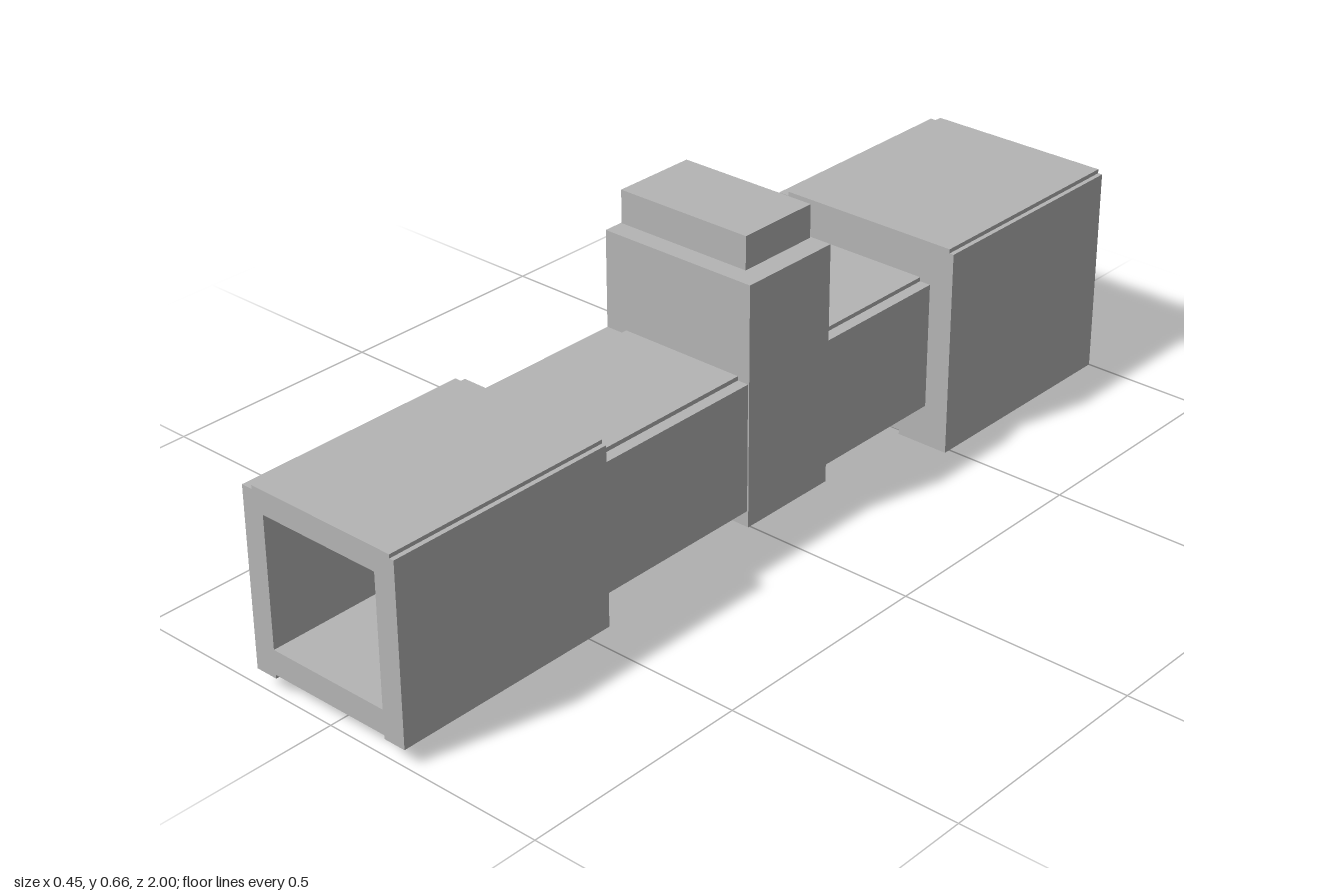
import * as THREE from 'three';

export function createModel() {
  const model = new THREE.Group();
  const grey = new THREE.MeshStandardMaterial({ color: 0xb4b4b4 });
  grey.name = 'grey';

  const add = (name, geometry) => {
    const mesh = new THREE.Mesh(geometry, grey);
    mesh.name = name;
    model.add(mesh);
  };

  // Box given by its limits on each axis
  const box = (name, [x0, x1], [y0, y1], [z0, z1]) => {
    const g = new THREE.BoxGeometry(x1 - x0, y1 - y0, z1 - z0);
    g.translate((x0 + x1) / 2, (y0 + y1) / 2, (z0 + z1) / 2);
    add(name, g);
  };

  // Outline stepped along the top and bottom, with an optional square bore, run along z
  const section = (name, points, bore, z0, z1) => {
    const shape = new THREE.Shape(points.map(([x, y]) => new THREE.Vector2(x, y)));
    if (bore) {
      const [x0, x1, y0, y1] = bore;
      shape.holes.push(new THREE.Path([
        new THREE.Vector2(x0, y0), new THREE.Vector2(x0, y1),
        new THREE.Vector2(x1, y1), new THREE.Vector2(x1, y0),
      ]));
    }
    const g = new THREE.ExtrudeGeometry(shape, { depth: z1 - z0, bevelEnabled: false });
    g.translate(0, 0, z0);
    add(name, g);
  };

  // Front housing, open to the front
  section('frontHousing', [
    [-0.19, 0.036], [-0.14, 0.036], [-0.14, 0.044], [0.14, 0.044], [0.14, 0.036], [0.19, 0.036],
    [0.19, 0.417], [0.18, 0.417], [0.18, 0.425], [-0.165, 0.425], [-0.165, 0.417], [-0.19, 0.417],
  ], [-0.14, 0.14, 0.097, 0.375], 0.485, 1);

  // Rear housing, with a smaller opening to the back
  section('rearHousing', [
    [-0.225, 0], [-0.105, 0], [-0.105, 0.01], [0.105, 0.01], [0.105, 0], [0.225, 0],
    [0.225, 0.45], [0.215, 0.45], [0.215, 0.459], [-0.2, 0.459], [-0.2, 0.45], [-0.225, 0.45],
  ], [-0.105, 0.105, 0.149, 0.335], -1, -0.485);

  // Tubes joining the housings to the centre block
  const tube = [
    [-0.19, 0.09], [-0.14, 0.09], [-0.14, 0.096], [0.145, 0.096], [0.145, 0.09], [0.17, 0.09],
    [0.17, 0.366], [0.145, 0.366], [0.145, 0.375], [-0.14, 0.375], [-0.14, 0.366], [-0.19, 0.366],
  ];
  section('frontTube', tube, [-0.13, 0.12, 0.148, 0.322], 0.075, 0.485);
  section('rearTube', tube, null, -0.485, -0.16);

  // Small plates under the tubes
  for (const z of [0.25, -0.29]) {
    box('lowerPlate', [-0.09, 0.07], [0.092, 0.097], [z - 0.035, z + 0.035]);
  }

  // Centre block and the cap floating above it
  box('centreBlock', [-0.19, 0.173], [0.055, 0.574], [-0.16, 0.075]);
  box('cap', [-0.165, 0.147], [0.59, 0.66], [-0.13, 0.057]);

  return model;
}
